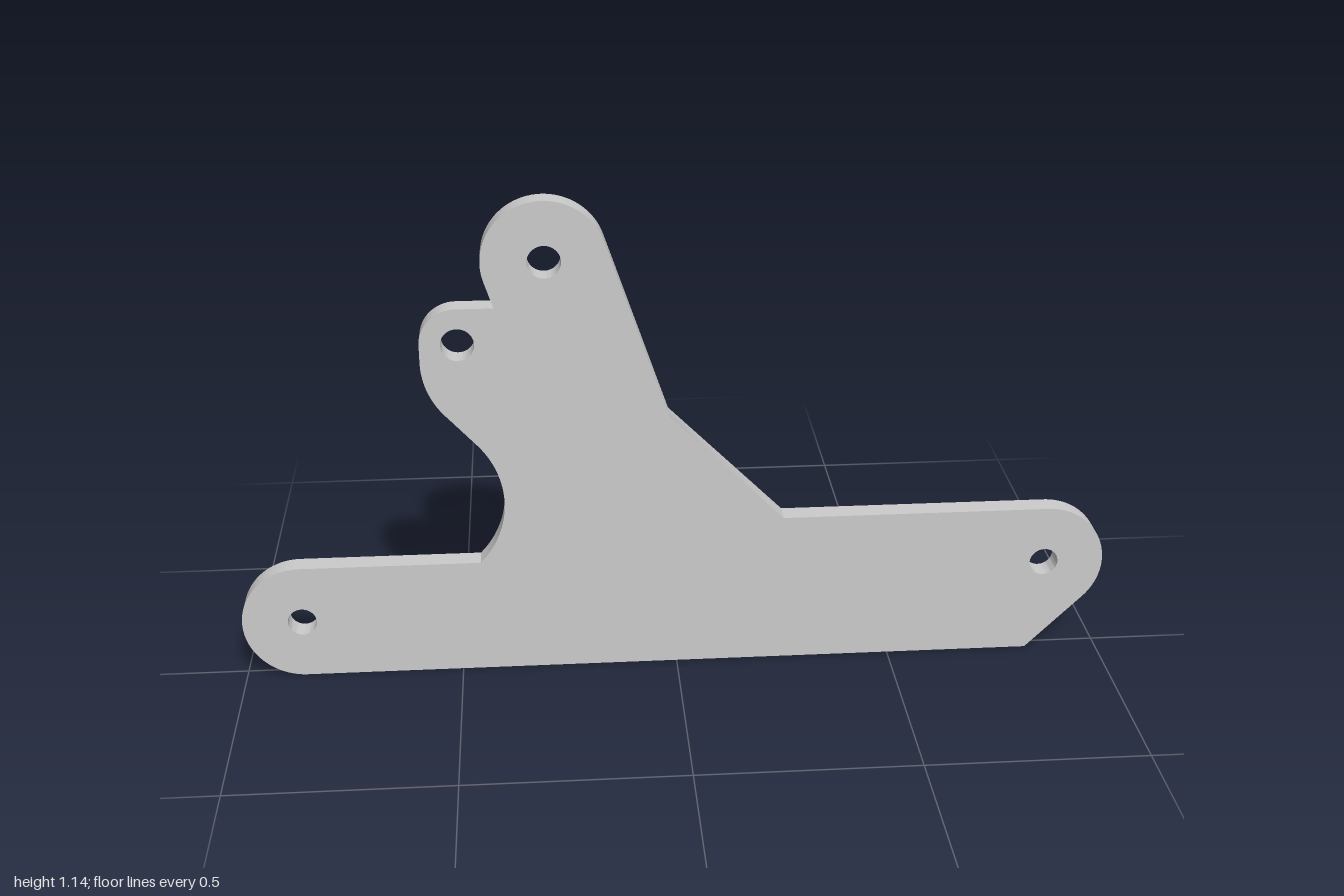
import * as THREE from 'three';
import { toCreasedNormals } from 'three/addons/utils/BufferGeometryUtils.js';

const THICKNESS = 0.05;
const rad = THREE.MathUtils.degToRad;

export function createModel() {
  const group = new THREE.Group();
  group.name = 'bracket';

  // Outline, counter-clockwise; each arc joins the previous point with a straight edge
  const outline = new THREE.Shape();
  const arc = (x, y, r, from, to, clockwise = false) =>
    outline.absarc(x, y, r, rad(from), rad(to), clockwise);

  outline.moveTo(-0.861, 0);
  outline.lineTo(0.832, 0);
  arc(0.862, 0.228, 0.138, -45, 90);          // right lobe
  outline.lineTo(0.246, 0.366);
  outline.lineTo(-0.016, 0.63);
  arc(-0.285, 1.0, 0.137, 18.3, 198.3);       // top lobe
  outline.lineTo(-0.396, 0.898);
  arc(-0.479, 0.816, 0.082, 90, 180);         // ear corner
  arc(-0.371, 0.775, 0.19, 180, 225);         // ear underside
  arc(-0.607, 0.428, 0.218, 43.5, -43.5, true); // concave throat
  arc(-0.861, 0.139, 0.139, 90, 270);         // left lobe

  // Bolt holes: x, y, radius
  const holes = [
    [-0.863, 0.14, 0.033],
    [-0.478, 0.815, 0.037],
    [-0.285, 1.0, 0.037],
    [0.861, 0.228, 0.033],
  ];
  for (const [x, y, r] of holes) {
    outline.holes.push(new THREE.Path().absarc(x, y, r, 0, Math.PI * 2, true));
  }

  // Flat plate, centred in depth
  const geometry = new THREE.ExtrudeGeometry(outline, {
    depth: THICKNESS, bevelEnabled: false, curveSegments: 32,
  });
  geometry.translate(0, 0, -THICKNESS / 2);

  const plate = new THREE.Mesh(
    toCreasedNormals(geometry, rad(30)),
    new THREE.MeshStandardMaterial({ color: 0xcccccc }),
  );
  plate.name = 'plate';
  group.add(plate);
  return group;
}
